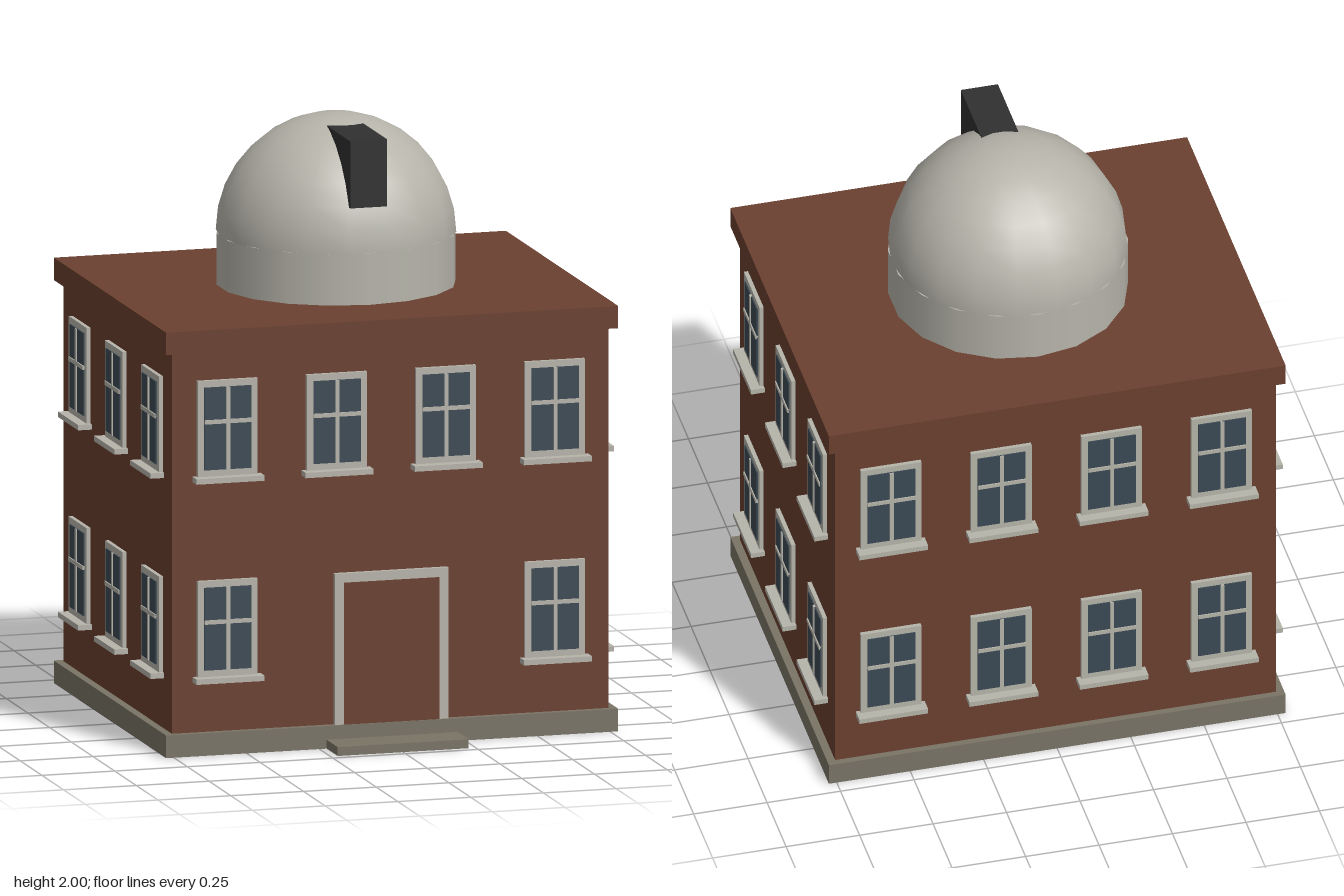
import * as THREE from 'three';

const material = (name, color) => {
  const m = new THREE.MeshStandardMaterial({ color });
  m.name = name;
  return m;
};

export function createModel() {
  const brick = material('brick red', 0x6b4030);
  const stone = material('base stone', 0x7a7466);
  const pale = material('pale stone', 0xb6b4aa);
  const glass = material('window glass', 0x3b4a54);
  const dark = material('dark slit', 0x303030);

  const model = new THREE.Group();
  model.name = 'observatory';
  const CZ = -0.053; // centre of the house in z
  const HX = 0.75, HZ = 0.625; // half width and half depth of the walls

  const add = (parent, name, geometry, mat, x, y, z) => {
    const mesh = new THREE.Mesh(geometry, mat);
    mesh.name = name;
    mesh.position.set(x, y, z);
    parent.add(mesh);
    return mesh;
  };
  const box = (parent, name, mat, w, h, d, x, y, z) =>
    add(parent, name, new THREE.BoxGeometry(w, h, d), mat, x, y, z);

  // House body, plinth, flat roof and entrance step
  box(model, 'plinth', stone, 1.554, 0.076, 1.296, 0, 0.038, CZ);
  box(model, 'walls', brick, HX * 2, 1.29, HZ * 2, 0, 0.715, CZ);
  box(model, 'roofSlab', brick, 1.554, 0.075, 1.296, 0, 1.3925, CZ);
  box(model, 'entranceStep', stone, 0.45, 0.03, 0.14, 0, 0.015, 0.652);

  // Frame with a rectangular hole, lying against the wall plane z = 0
  const frameGeometry = (w, h, t, bottom, depth) => {
    const s = new THREE.Shape();
    s.moveTo(-w / 2, 0).lineTo(w / 2, 0).lineTo(w / 2, h).lineTo(-w / 2, h).closePath();
    const x = w / 2 - t, hole = new THREE.Path();
    hole.moveTo(-x, bottom).lineTo(-x, h - t).lineTo(x, h - t).lineTo(x, bottom).closePath();
    s.holes.push(hole);
    return new THREE.ExtrudeGeometry(s, { depth, bevelEnabled: false });
  };

  // One window: origin at the bottom middle of its frame
  const windowFrame = frameGeometry(0.206, 0.322, 0.022, 0.022, 0.014);
  const makeWindow = (parent, x, y) => {
    const w = new THREE.Group();
    w.name = 'window';
    w.position.set(x, y, 0);
    add(w, 'windowFrame', windowFrame, pale, 0, 0, 0);
    box(w, 'windowGlass', glass, 0.162, 0.278, 0.018, 0, 0.161, 0.009);
    box(w, 'verticalBar', pale, 0.013, 0.278, 0.022, 0, 0.161, 0.011);
    box(w, 'horizontalBar', pale, 0.162, 0.014, 0.022, 0, 0.184, 0.011);
    box(w, 'windowSill', pale, 0.234, 0.018, 0.047, 0, -0.009, 0.0235);
    parent.add(w);
  };

  // Four facades, each with two floors of windows
  const rows = [0.263, 0.936];
  const long = [-0.5625, -0.1875, 0.1875, 0.5625];
  const short = [-0.417, 0, 0.417];
  const facades = [
    ['frontFacade', 0, CZ + HZ, 0, long],
    ['backFacade', 0, CZ - HZ, Math.PI, long],
    ['leftFacade', HX, CZ, Math.PI / 2, short],
    ['rightFacade', -HX, CZ, -Math.PI / 2, short],
  ];
  for (const [name, x, z, turn, columns] of facades) {
    const facade = new THREE.Group();
    facade.name = name;
    facade.position.set(x, 0, z);
    facade.rotation.y = turn;
    for (const y of rows) for (const c of columns) {
      // the door takes the middle of the ground floor
      const doorway = name === 'frontFacade' && y === rows[0] && Math.abs(c) < 0.3;
      if (!doorway) makeWindow(facade, c, y);
    }
    if (name === 'frontFacade') {
      const T = 0.031, W = 0.39, H = 0.508;
      box(facade, 'doorLintel', pale, W, T, 0.016, 0, 0.076 + H - T / 2, 0.008);
      for (const s of [-1, 1])
        box(facade, 'doorJamb', pale, T, H - T, 0.016, s * (W - T) / 2, 0.076 + (H - T) / 2, 0.008);
      box(facade, 'doorLeaf', brick, W - 2 * T, H - T, 0.018, 0, 0.076 + (H - T) / 2, 0.009);
    }
    model.add(facade);
  }

  // Drum, dome and telescope opening
  const R = 0.397;
  add(model, 'drum', new THREE.CylinderGeometry(R, R, 0.175, 18), pale, 0, 1.5155, CZ);
  add(model, 'dome', new THREE.SphereGeometry(R, 18, 8, 0, Math.PI * 2, 0, Math.PI / 2),
    pale, 0, 1.603, CZ);
  box(model, 'domeOpening', dark, 0.126, 0.226, 0.32, 0, 1.866, 0.163);

  return model;
}
